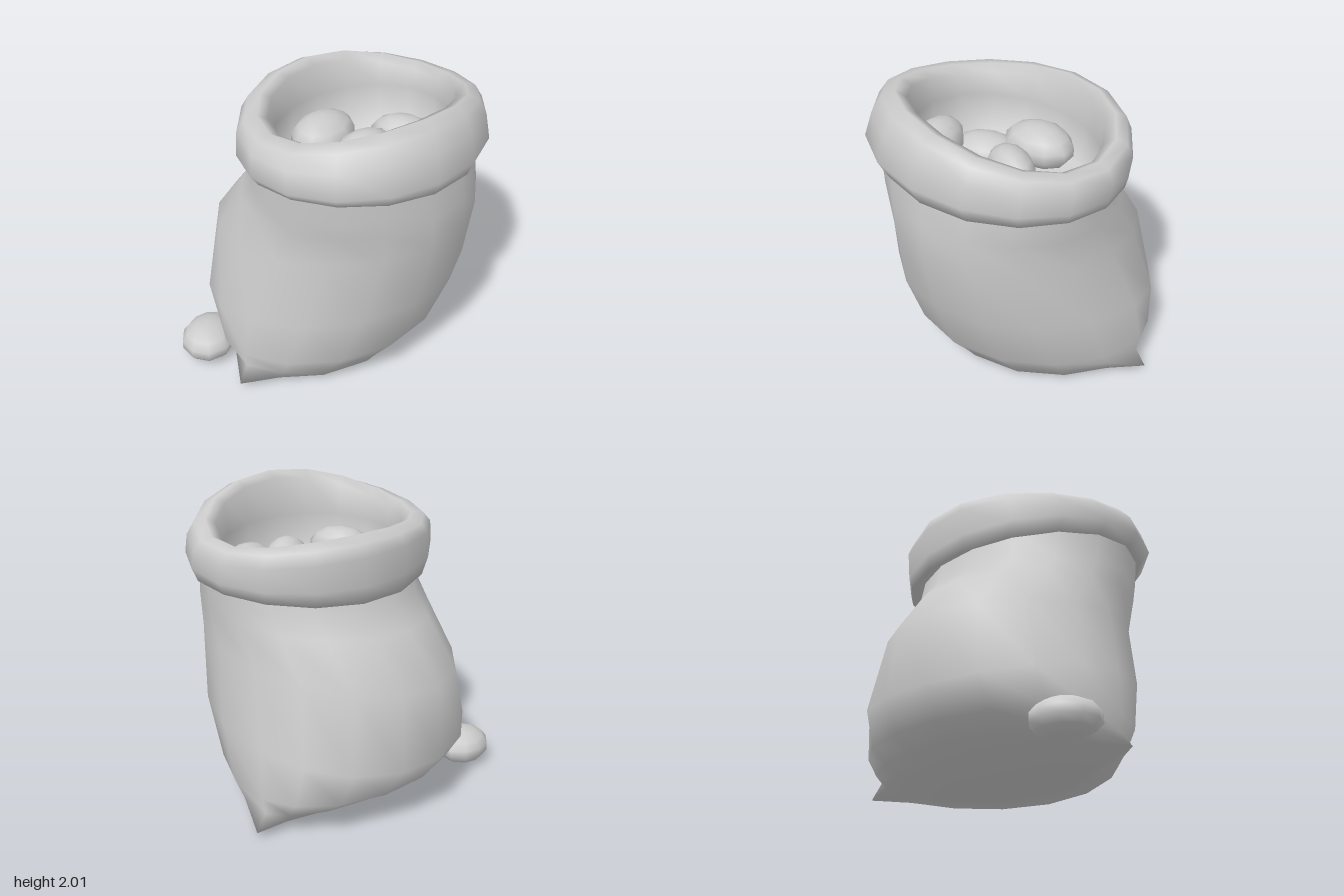
import * as THREE from 'three';
import { mergeVertices } from 'three/addons/utils/BufferGeometryUtils.js';

const SEG = 16;
const material = new THREE.MeshStandardMaterial({ color: 0xcccccc });

// One closed cross-section. Each side (left, right, back, front) has its own reach;
// ex is where front and back peak, y follows tilt and warp, p > 1 pinches front and back.
function ring({ L, R, B, F, ex = (L + R) / 2, y, tx = 0, tz = 0, txz = 0, warp = 0, p = 1, ear = 0 }) {
  const ez = (B + F) / 2;
  return Array.from({ length: SEG }, (_, j) => {
    const a = (j / SEG) * Math.PI * 2, c = Math.cos(a), s = Math.sin(a);
    const cx = Math.sign(c) * Math.abs(c) ** p;
    const tip = j % (SEG / 2) === SEG / 4 ? ear : 0;
    return [
      ex + cx * (c > 0 ? R - ex : ex - L),
      y + tx * c + tz * s + txz * c * s + warp * Math.cos(2 * a) - tip * 0.12,
      ez + s * (F - ez) + Math.sign(s) * tip,
    ];
  });
}

// Skin a stack of rings with smooth normals.
function loft(name, rings) {
  const index = [];
  for (let i = 0; i < rings.length - 1; i++) {
    for (let j = 0; j < SEG; j++) {
      const k = (j + 1) % SEG, a = i * SEG, b = a + SEG;
      index.push(a + j, b + j, b + k, a + j, b + k, a + k);
    }
  }
  const geo = new THREE.BufferGeometry();
  geo.setAttribute('position', new THREE.Float32BufferAttribute(rings.flat(2), 3));
  geo.setIndex(index);
  geo.computeVertexNormals();
  const mesh = new THREE.Mesh(geo, material);
  mesh.name = name;
  return mesh;
}

// Slightly lumpy low-poly potato without a seam
function potato(name, x, y, z, rx, ry, rz, turn, seed) {
  let geo = new THREE.SphereGeometry(1, 10, 7);
  geo.deleteAttribute('uv');
  geo.deleteAttribute('normal');
  geo = mergeVertices(geo, 1e-3);
  const pos = geo.attributes.position, v = new THREE.Vector3();
  for (let i = 0; i < pos.count; i++) {
    v.fromBufferAttribute(pos, i);
    const lump = 1 + 0.05 * Math.sin(v.x * 2 + seed) + 0.05 * Math.sin(v.z * 2.5 + seed * 2);
    pos.setXYZ(i, v.x * rx * lump, v.y * ry, v.z * rz * lump);
  }
  geo.computeVertexNormals();
  const mesh = new THREE.Mesh(geo, material);
  mesh.name = name;
  mesh.position.set(x, y, z);
  mesh.rotation.y = turn;
  return mesh;
}

export function createModel() {
  const group = new THREE.Group();
  group.name = 'potatoSack';

  // Leaning, bulging bag with a pinched bottom corner at front and back
  group.add(loft('sackBody', [
    { L: 0, R: 0, B: 0, F: 0, y: 0.03 },
    { L: -0.28, R: 0.26, B: -0.5, F: 0.5, y: 0.03 },
    { L: -0.5, R: 0.44, B: -0.85, F: 0.85, ex: -0.22, y: 0.055, tx: -0.035, p: 1.3, ear: 0.12 },
    { L: -0.66, R: 0.53, B: -0.89, F: 0.89, ex: -0.22, y: 0.145, p: 1.2 },
    { L: -0.8, R: 0.64, B: -0.91, F: 0.91, ex: -0.22, y: 0.25, tx: 0.03, p: 1.1 },
    { L: -0.93, R: 0.8, B: -0.88, F: 0.88, ex: -0.18, y: 0.55, tx: 0.15 },
    { L: -0.9, R: 0.88, B: -0.76, F: 0.77, ex: -0.04, y: 1.02, tx: 0.14 },
    { L: -0.66, R: 0.865, B: -0.75, F: 0.78, ex: 0.1, y: 1.28, tx: 0.08 },
    { L: -0.55, R: 0.85, B: -0.74, F: 0.79, ex: 0.14, y: 1.41, tx: 0.08 },
    { L: -0.49, R: 0.83, B: -0.74, F: 0.8, y: 1.6, tx: 0.05, tz: 0.03 },
  ].map(ring)));

  // Rolled-down rim: under the lip, up the outside, over the crest and down to the inner floor
  group.add(loft('rolledRim', [
    { L: -0.46, R: 0.8, B: -0.71, F: 0.77, y: 1.58, tx: 0.05, tz: 0.04 },
    { L: -0.59, R: 0.87, B: -0.82, F: 0.83, y: 1.515, tx: 0.05, tz: 0.045, warp: -0.02 },
    { L: -0.61, R: 0.92, B: -0.845, F: 0.9, y: 1.61, tx: 0.05, tz: 0.05 },
    { L: -0.62, R: 0.88, B: -0.855, F: 0.86, y: 1.76, tx: 0.04, tz: 0.05, txz: 0.03, warp: 0.025 },
    { L: -0.59, R: 0.83, B: -0.81, F: 0.79, y: 1.845, tx: 0.06, tz: 0.055, txz: 0.06, warp: 0.035 },
    { L: -0.51, R: 0.75, B: -0.74, F: 0.7, y: 1.873, tx: 0.06, tz: 0.055, txz: 0.08, warp: 0.04 },
    { L: -0.45, R: 0.68, B: -0.68, F: 0.63, y: 1.835, tx: 0.06, tz: 0.05, txz: 0.07, warp: 0.04 },
    { L: -0.42, R: 0.66, B: -0.65, F: 0.61, y: 1.65, tx: 0.04, tz: 0.03 },
    { L: -0.4, R: 0.66, B: -0.62, F: 0.61, y: 1.3 },
    { L: 0.12, R: 0.12, B: 0, F: 0, y: 1.3 },
  ].map(ring)));

  // Potatoes inside: x, y, z, radii x y z, turn
  [
    [-0.2, 1.47, -0.05, 0.195, 0.14, 0.255, 0],
    [0.18, 1.38, -0.44, 0.22, 0.14, 0.15, 0.3],
    [0.51, 1.47, -0.2, 0.16, 0.14, 0.23, 0.2],
    [0.12, 1.45, -0.06, 0.14, 0.13, 0.21, -0.4],
    [0.32, 1.41, 0.1, 0.12, 0.12, 0.2, 0.15],
    [0.52, 1.43, 0.22, 0.15, 0.14, 0.2, 0.4],
    [-0.07, 1.33, 0.3, 0.18, 0.14, 0.26, 0.35],
    [0.23, 1.5, 0.46, 0.22, 0.14, 0.16, 0.3],
  ].forEach((d, i) => group.add(potato(`potato${i + 1}`, ...d, i)));

  // Potato lying on the ground by the front corner
  group.add(potato('groundPotato', -0.64, 0.12, 0.765, 0.185, 0.12, 0.22, 0.4, 0));

  return group;
}
